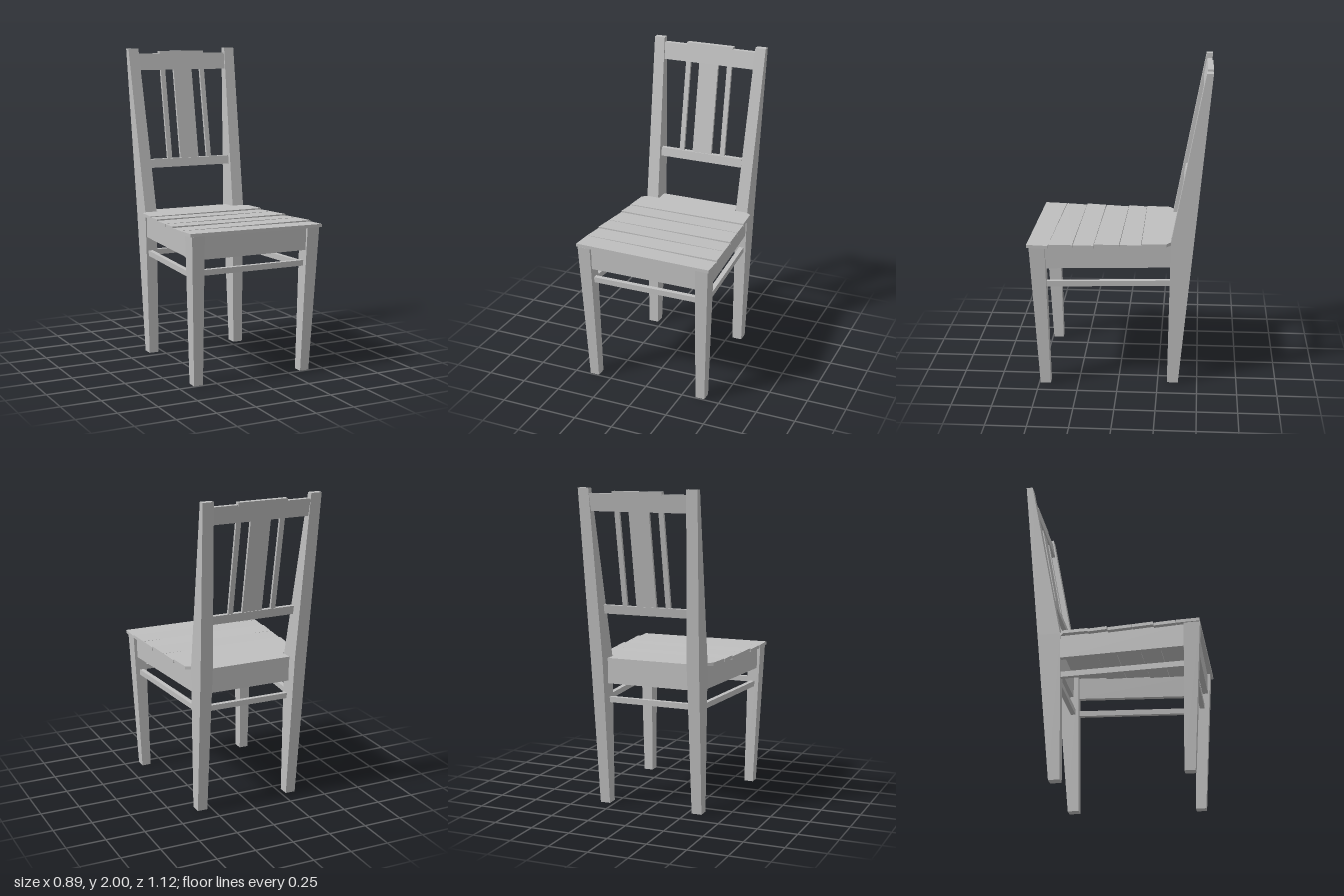
import * as THREE from 'three';

const wood = new THREE.MeshStandardMaterial({ color: 0xbfbfbf });
wood.name = 'plain wood grey';
const lerp = THREE.MathUtils.lerp;

// A box whose unit corners (u, v, w in 0..1) are moved by a rule; faces stay flat.
function shapedBox(name, rule, rows = 1) {
  const geo = new THREE.BoxGeometry(1, 1, 1, 1, rows, 1).toNonIndexed();
  const p = geo.attributes.position;
  for (let i = 0; i < p.count; i++) {
    p.setXYZ(i, ...rule(p.getX(i) + 0.5, p.getY(i) + 0.5, p.getZ(i) + 0.5));
  }
  geo.computeVertexNormals();
  const mesh = new THREE.Mesh(geo, wood);
  mesh.name = name;
  return mesh;
}

// Upright part through rectangular sections [y, x0, x1, z0, z1], bottom to top.
function upright(name, sections) {
  const rows = sections.length - 1;
  return shapedBox(name, (u, v, w) => {
    const [y, x0, x1, z0, z1] = sections[Math.round(v * rows)];
    return [lerp(x0, x1, u), y, lerp(z0, z1, w)];
  }, rows);
}

// Mirror sections to the other side of the chair.
const mirrored = (sections, side) =>
  side > 0 ? sections : sections.map(([y, x0, x1, z0, z1]) => [y, -x1, -x0, z0, z1]);

// Bar running front to back, splayed outwards towards the front.
function sideBar(name, side, y0, y1, backX, frontX, thick) {
  return shapedBox(name, (u, v, w) => {
    const outer = lerp(backX, frontX, w);
    const a = side > 0 ? outer - thick : -outer;
    return [a + u * thick, lerp(y0, y1, v), lerp(-0.34, 0.47, w)];
  });
}

export function createModel() {
  const chair = new THREE.Group();
  chair.name = 'chair';

  // Legs, side aprons and side stretchers
  for (const side of [1, -1]) {
    const s = side > 0 ? 'left' : 'right';
    chair.add(
      upright(s + 'FrontLeg', mirrored([
        [0, 0.34, 0.4, 0.427, 0.492],
        [0.925, 0.352, 0.435, 0.447, 0.545],
      ], side)),
      upright(s + 'BackPost', mirrored([
        [0, 0.28, 0.345, -0.38, -0.31],
        [0.94, 0.28, 0.36, -0.467, -0.325],
        [2, 0.315, 0.385, -0.565, -0.525],
      ], side)),
      sideBar(s + 'Apron', side, 0.78, 0.925, 0.35, 0.415, 0.035),
      sideBar(s + 'Stretcher', side, 0.655, 0.69, 0.34, 0.4, 0.03),
    );
  }

  // Front and back aprons and stretchers
  chair.add(
    upright('frontApron', [0.78, 0.925].map(y => [y, -0.37, 0.37, 0.49, 0.525])),
    upright('backApron', [0.78, 0.925].map(y => [y, -0.3, 0.3, -0.39, -0.355])),
    upright('frontStretcher', [0.677, 0.712].map(y => [y, -0.37, 0.37, 0.47, 0.5])),
    upright('backStretcher', [0.655, 0.69].map(y => [y, -0.3, 0.3, -0.37, -0.34])),
  );

  // Seat planks: slightly skewed seams, [z right, z left] from back to front
  const seams = [[-0.147, -0.145], [-0.024, -0.011], [0.131, 0.146], [0.262, 0.275], [0.4, 0.424], [0.545, 0.56]];
  const halfWidth = z => Math.min(0.445, 0.412 + z * 0.078);
  for (let i = 0; i < seams.length - 1; i++) {
    chair.add(shapedBox('seatPlank' + (i + 1), (u, v, w) => {
      const back = lerp(...seams[i], u) + 0.002;
      const front = lerp(...seams[i + 1], u) - 0.002;
      const z = lerp(back, front, w);
      const tilt = (i % 2 ? 1 : -1) * (u - 0.5) * 0.004 + (w - 0.5) * 0.004;
      return [(u - 0.5) * 2 * halfWidth(z), 0.921 + v * 0.02 + tilt, z];
    }));
  }

  // Rear plank, cut away around the back posts
  const half = [[0.401, -0.147], [0.39, -0.3], [0.355, -0.325], [0.272, -0.325], [0.272, -0.41]];
  const outline = [...half, ...half.map(([x, z]) => [-x, z]).reverse()];
  const shape = new THREE.Shape(outline.map(([x, z]) => new THREE.Vector2(x, -z)));
  const rearGeo = new THREE.ExtrudeGeometry(shape, { depth: 0.02, bevelEnabled: false });
  rearGeo.rotateX(-Math.PI / 2).translate(0, 0.925, 0);
  const rear = new THREE.Mesh(rearGeo, wood);
  rear.name = 'rearSeatPlank';
  chair.add(rear);

  // Leaning backrest: rails and slats share one slope
  const lean = y => -0.393 - (y - 1.225) * 0.183;
  const leaning = (name, x0, x1, y0, y1, inset, thick) => upright(name,
    [y0, y1].map(y => [y, x0, x1, lean(y) - inset - thick, lean(y) - inset]));
  chair.add(
    leaning('lowerBackRail', -0.285, 0.285, 1.225, 1.28, 0, 0.03),
    leaning('topRail', -0.325, 0.325, 1.86, 1.968, 0, 0.032),
    leaning('topRailCrest', -0.16, 0.16, 1.96, 1.983, 0, 0.035),
    leaning('centreSlat', -0.066, 0.066, 1.27, 1.87, 0.007, 0.018),
    leaning('leftSlat', 0.127, 0.159, 1.27, 1.87, 0.007, 0.018),
    leaning('rightSlat', -0.159, -0.127, 1.27, 1.87, 0.007, 0.018),
  );
  return chair;
}
